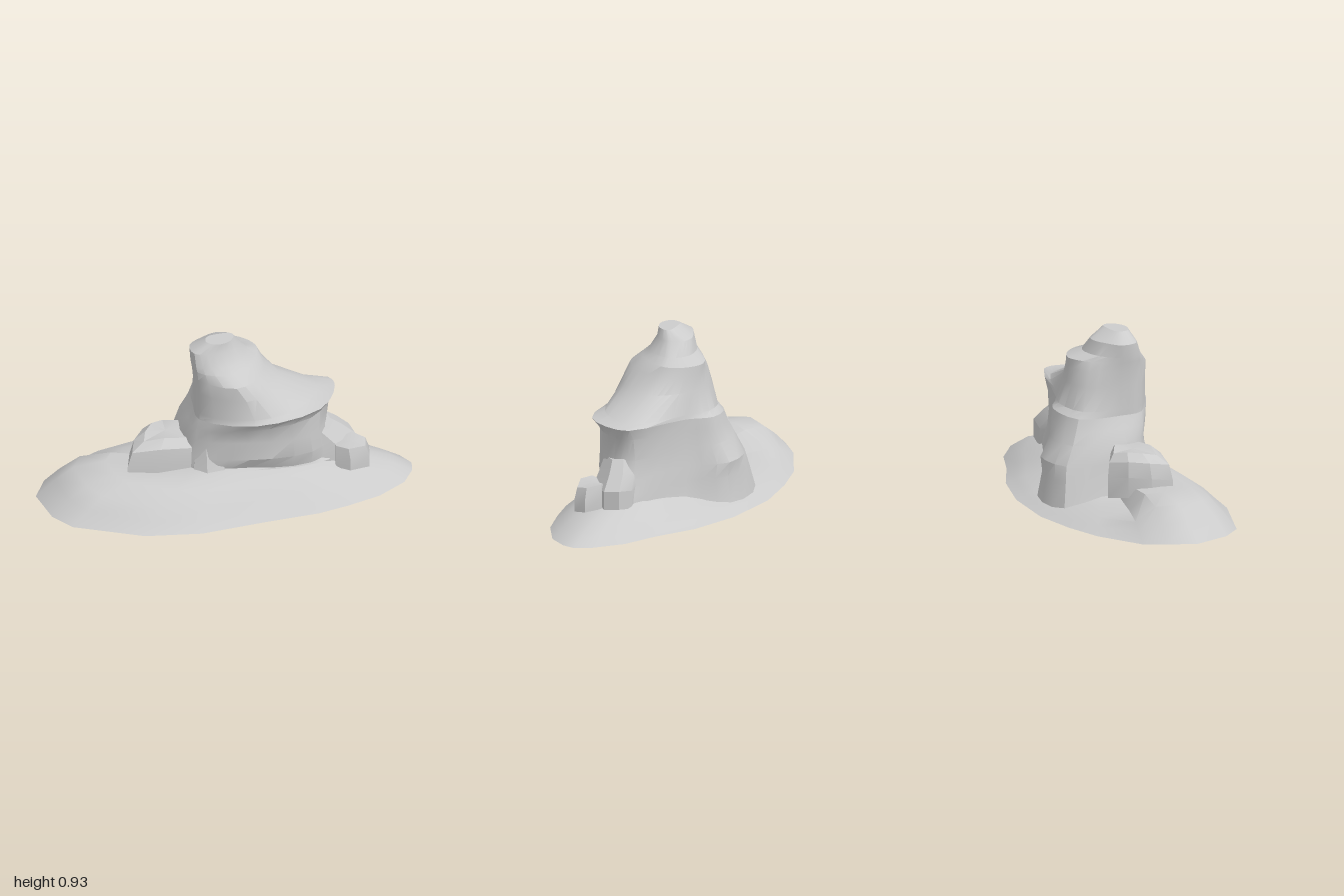
import * as THREE from 'three';
import { toCreasedNormals } from 'three/addons/utils/BufferGeometryUtils.js';

const material = new THREE.MeshStandardMaterial({ color: 0xcccccc, side: THREE.DoubleSide });

// Skin a stack of closed rings (counter-clockwise from above), optionally capped on top
function loft(name, rings, crease, cap = true) {
  const n = rings[0].length, pos = [], index = [];
  rings.forEach(r => r.forEach(p => pos.push(p.x, p.y, p.z)));
  for (let i = 0; i < rings.length - 1; i++) {
    for (let j = 0; j < n; j++) {
      const k = (j + 1) % n, a = i * n + j, b = i * n + k;
      index.push(a, b, b + n, a, b + n, a + n);
    }
  }
  if (cap) {
    const top = rings[rings.length - 1], c = new THREE.Vector3();
    top.forEach(p => c.addScaledVector(p, 1 / n));
    pos.push(c.x, c.y, c.z);
    const base = (rings.length - 1) * n;
    for (let j = 0; j < n; j++) index.push(base + j, base + (j + 1) % n, rings.length * n);
  }
  const geo = new THREE.BufferGeometry();
  geo.setAttribute('position', new THREE.Float32BufferAttribute(pos, 3));
  geo.setIndex(index);
  const mesh = new THREE.Mesh(toCreasedNormals(geo, crease), material);
  mesh.name = name;
  return mesh;
}

// Round off a ring given as height, slope along x, slope along z, then x, z pairs
function smoothRing([y, slopeX, slopeZ, ...xz]) {
  const pts = [], n = 27;
  for (let i = 0; i < xz.length; i += 2) {
    pts.push(new THREE.Vector3(xz[i], y + slopeX * xz[i] + slopeZ * xz[i + 1], xz[i + 1]));
  }
  const curve = new THREE.CatmullRomCurve3(pts, true, 'centripetal');
  return Array.from({ length: n }, (_, i) => curve.getPoint(i / n));
}

// Faceted boulder: one outline of x, z pairs; rows give height, scale and shift of x and z
function boulder(name, outline, rows) {
  const cx = outline.reduce((s, p) => s + p[0], 0) / outline.length;
  const cz = outline.reduce((s, p) => s + p[1], 0) / outline.length;
  const rings = rows.map(([y, s, dx = 0, dz = 0]) => outline.map(([x, z], j) => new THREE.Vector3(
    cx + (x - cx) * s + dx, y + 0.012 * Math.sin(j * 2.3), cz + (z - cz) * s + dz)));
  return loft(name, rings, 0.35);
}

// Open ground mound: the rim outline shrinks inward while it climbs
function mound() {
  const rim = [
    [1, 0.03], [0.95, -0.05], [0.81, -0.17], [0.63, -0.25], [0.42, -0.37], [0.15, -0.455],
    [-0.16, -0.48], [-0.4, -0.44], [-0.6, -0.38], [-0.84, -0.24], [-0.93, -0.14], [-1, 0],
    [-0.95, 0.2], [-0.86, 0.31], [-0.5, 0.45], [-0.2, 0.475], [0.13, 0.43], [0.44, 0.4],
    [0.6, 0.36], [0.78, 0.3], [0.93, 0.2], [0.99, 0.1]];
  // scale, then height toward the -x end, +x end, front and back
  const steps = [
    [1, 0.02, 0.01, 0, 0.005], [0.9, 0.11, 0.065, 0.035, 0.025], [0.8, 0.18, 0.1, 0.08, 0.045],
    [0.63, 0.2, 0.15, 0.15, 0.07], [0.45, 0.18, 0.18, 0.19, 0.1], [0.22, 0.18, 0.19, 0.2, 0.15]];
  const rings = steps.map(([s, west, east, front, back]) => rim.map(([x, z]) => {
    const w = x * x / (x * x + z * z * 4), side = z > 0 ? front : back;
    // the back of the -x end drops away behind a ridge
    const end = x > 0 ? east : z < -0.15 ? west * 0.5 : west;
    return new THREE.Vector3(x * s, end * w + side * (1 - w), z * s);
  }));
  return loft('groundMound', rings, 0.7);
}

export function createModel() {
  const group = new THREE.Group();
  group.name = 'rockOutcrop';
  group.add(mound());

  // Broad lower rock: undercut foot, back buttress and overhanging ledge.
  // Points run from +x round the back, -x and front
  const ledge = [0.5, 0.08, 0, 0.59, 0.03, 0.57, -0.06, 0.2, -0.19, 0.07, -0.28, -0.12, -0.23, -0.16, 0, -0.15, 0.13, 0.12, 0.28, 0.48, 0.22];
  const base = [
    [0.13, 0, 0.25, 0.64, 0.03, 0.58, -0.07, 0.24, -0.21, 0.06, -0.38, -0.22, -0.37, -0.26, -0.02, -0.2, 0.13, 0.1, 0.2, 0.47, 0.19],
    [0.18, 0, 0, 0.6, 0.03, 0.56, -0.07, 0.22, -0.2, 0.05, -0.355, -0.19, -0.345, -0.25, 0, -0.2, 0.13, 0.1, 0.18, 0.44, 0.18],
    [0.26, 0, 0, 0.57, 0.05, 0.53, -0.06, 0.21, -0.2, 0.05, -0.365, -0.17, -0.33, -0.24, 0, -0.19, 0.13, 0.1, 0.22, 0.44, 0.2],
    [0.36, 0, 0, 0.54, 0.05, 0.51, -0.06, 0.2, -0.19, 0.05, -0.31, -0.15, -0.28, -0.23, 0, -0.17, 0.13, 0.1, 0.21, 0.43, 0.2],
    [0.44, 0.08, 0, 0.56, 0.03, 0.53, -0.06, 0.2, -0.19, 0.07, -0.29, -0.13, -0.25, -0.19, 0, -0.17, 0.13, 0.08, 0.23, 0.43, 0.2],
    ledge];
  group.add(loft('ledgeRock', base.map(smoothRing), 0.5, false));

  // Spire rising from the ledge and leaning toward -x
  const lowerSpire = [
    ledge,
    [0.53, 0.05, 0, 0.5, 0.02, 0.46, -0.08, 0.19, -0.19, 0.06, -0.25, -0.11, -0.2, -0.16, 0, -0.15, 0.13, 0.12, 0.265, 0.38, 0.2],
    [0.65, 0, 0, 0.3, 0, 0.26, -0.09, 0.16, -0.17, 0.05, -0.21, -0.1, -0.17, -0.16, 0, -0.15, 0.13, 0.08, 0.25, 0.23, 0.17],
    [0.73, 0, 0, 0.22, -0.02, 0.2, -0.1, 0.13, -0.17, 0.05, -0.2, -0.09, -0.15, -0.165, 0, -0.155, 0.12, 0.03, 0.235, 0.16, 0.15]];
  const upperSpire = [
    [0.78, 0, 0, 0.19, -0.03, 0.18, -0.1, 0.12, -0.17, 0.04, -0.2, -0.08, -0.13, -0.17, 0, -0.16, 0.12, -0.02, 0.18, 0.11, 0.12],
    [0.81, 0, 0, 0.13, -0.02, 0.12, -0.06, 0.08, -0.1, 0.02, -0.12, -0.09, -0.09, -0.175, 0, -0.165, 0.11, -0.04, 0.15, 0.08, 0.1],
    [0.88, 0, 0, 0.08, 0, 0.06, -0.04, 0.03, -0.08, -0.03, -0.09, -0.1, -0.06, -0.18, 0, -0.17, 0.09, -0.07, 0.11, 0.04, 0.08],
    [0.93, 0, 0, 0.05, 0.03, 0.045, 0.01, 0.03, 0, -0.02, 0, -0.08, 0.01, -0.1, 0.03, -0.1, 0.07, -0.05, 0.1, 0.02, 0.08]];
  group.add(loft('spire', [...lowerSpire, ...upperSpire].map(smoothRing), 0.5));

  // Boulders leaning against the main rock
  group.add(boulder('sideBoulder',
    [[-0.15, 0], [-0.22, -0.1], [-0.33, -0.17], [-0.43, -0.1], [-0.5, 0], [-0.53, 0.11], [-0.37, 0.14], [-0.18, 0.13]],
    [[0.12, 1], [0.23, 1], [0.31, 0.92, 0.01], [0.35, 0.66, 0.03, -0.01]]));
  group.add(boulder('frontBoulder',
    [[-0.02, 0.05], [-0.18, 0.02], [-0.18, 0.14], [-0.12, 0.18], [-0.03, 0.17]],
    [[0.16, 1.1, 0, 0.02], [0.24, 1], [0.35, 0.9, 0, -0.02]]));
  group.add(boulder('lowerEndBoulder',
    [[0.76, 0.1], [0.69, 0.04], [0.58, 0.06], [0.57, 0.17], [0.64, 0.21], [0.75, 0.17]],
    [[0.12, 1], [0.19, 1], [0.25, 0.88, -0.01]]));
  group.add(boulder('upperEndBoulder',
    [[0.7, 0.02], [0.68, -0.06], [0.58, -0.08], [0.46, -0.06], [0.47, 0.15], [0.6, 0.14]],
    [[0.13, 1], [0.23, 1], [0.3, 0.9, -0.06, 0.01], [0.36, 0.75, -0.11, 0.03]]));
  return group;
}
